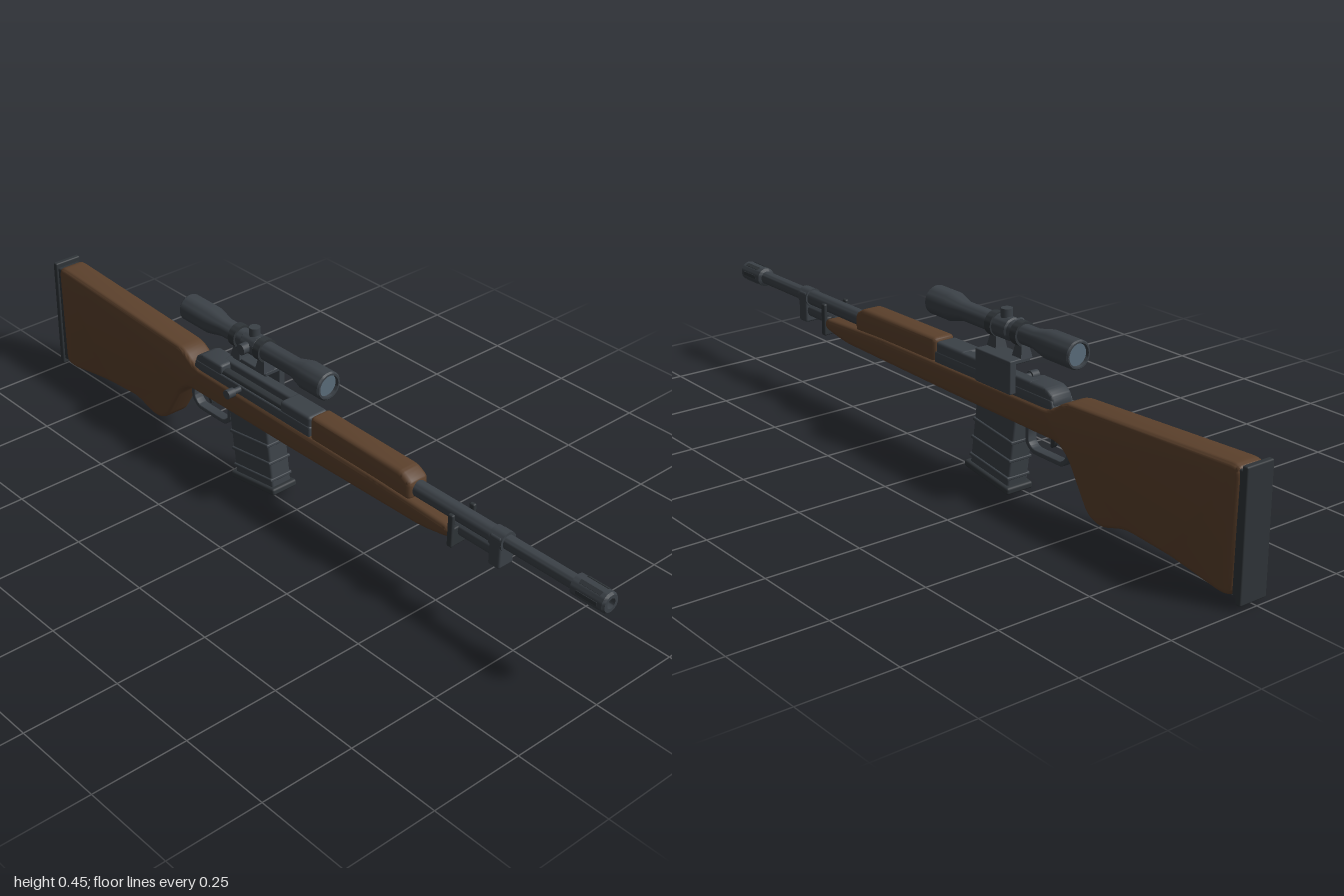
import * as THREE from 'three';
import { toCreasedNormals } from 'three/addons/utils/BufferGeometryUtils.js';
import { RoundedBoxGeometry } from 'three/addons/geometries/RoundedBoxGeometry.js';

const CX = 0.0115; // centre line of the rifle

export function createModel() {
  const mat = (name, color) => Object.assign(new THREE.MeshStandardMaterial({ color }), { name });
  const wood = mat('walnut', 0x5c412c);
  const metal = mat('gunmetal', 0x3b4147);
  const dark = mat('dark steel', 0x2f3438);
  const glass = mat('lens glass', 0x5a6c7a);
  const model = new THREE.Group();
  model.name = 'scopedRifle';

  const add = (name, geo, material, x = 0, y = 0, z = 0, parent = model) => {
    const mesh = new THREE.Mesh(geo, material);
    mesh.name = name;
    mesh.position.set(x, y, z);
    parent.add(mesh);
    return mesh;
  };
  const box = (w, h, d, r = 0.004) => new RoundedBoxGeometry(w, h, d, 2, r);

  // Closed outline with corners softened by radius r
  const outline = (pts, r, Type = THREE.Shape) => {
    const v = pts.map(p => new THREE.Vector2(...p));
    const s = new Type();
    v.forEach((p, i) => {
      const toward = q => {
        const d = q.clone().sub(p);
        return p.clone().add(d.setLength(Math.min(r, d.length() * 0.45)));
      };
      const a = toward(v[(i + v.length - 1) % v.length]);
      const b = toward(v[(i + 1) % v.length]);
      if (i) s.lineTo(a.x, a.y); else s.moveTo(a.x, a.y);
      s.quadraticCurveTo(p.x, p.y, b.x, b.y);
    });
    s.closePath();
    return s;
  };
  // Side profile in (z, y), extruded across the width and centred on x = 0
  const side = (shape, width, bevel) => {
    const g = new THREE.ExtrudeGeometry(shape, {
      depth: width - 2 * bevel, bevelSize: bevel, bevelThickness: bevel,
      bevelOffset: -bevel, bevelSegments: 3, curveSegments: 5,
    });
    g.translate(0, 0, bevel - width / 2).rotateY(-Math.PI / 2);
    return toCreasedNormals(g, 0.6);
  };
  // Turned part along z from [radius, z] pairs, z rising on the outside
  const turned = pts => toCreasedNormals(
    new THREE.LatheGeometry(pts.map(p => new THREE.Vector2(...p)), 28).rotateX(Math.PI / 2), 0.5);

  // One-piece wooden stock
  add('stock', side(outline([
    [0.555, 0.252], [0.3, 0.263], [-0.375, 0.268], [-0.425, 0.303], [-0.965, 0.328],
    [-0.978, 0.315], [-0.972, 0.03], [-0.94, 0.022], [-0.78, 0.049], [-0.635, 0.06],
    [-0.555, 0.035], [-0.51, 0.05], [-0.437, 0.17], [-0.4, 0.195], [0.0, 0.198],
    [0.46, 0.206], [0.555, 0.222],
  ], 0.025), 0.076, 0.011), wood, CX);
  add('handguard', side(outline([
    [0.418, 0.25], [0.418, 0.3], [0.385, 0.319], [0.07, 0.322], [0.07, 0.25],
  ], 0.012), 0.064, 0.012), wood, CX);
  add('buttPlate', box(0.08, 0.318, 0.016), dark, CX, 0.174, -0.992);
  add('buttSpacer', box(0.068, 0.29, 0.02), dark, CX, 0.174, -0.978);

  // Receiver with a cut-out for the bolt on the -x side
  add('receiver', side(outline([
    [0.07, 0.245], [0.07, 0.29], [-0.375, 0.29], [-0.385, 0.245],
  ], 0.006), 0.066, 0.004), metal, CX);
  add('receiverRing', box(0.062, 0.05, 0.11, 0.008), metal, CX, 0.291, 0.013);
  add('receiverBridge', side(outline([
    [-0.27, 0.27], [-0.27, 0.314], [-0.35, 0.314], [-0.375, 0.3], [-0.38, 0.27],
  ], 0.01), 0.062, 0.007), metal, CX);
  add('receiverRail', box(0.032, 0.045, 0.28, 0.006), metal, CX + 0.015, 0.292, -0.16);
  const bolt = turned([[0, -0.13], [0.014, -0.13], [0.014, 0.13], [0, 0.13]]);
  add('boltBody', bolt, dark, CX - 0.014, 0.288, -0.16);
  const across = (r, len) => new THREE.CylinderGeometry(r, r, len, 20).rotateZ(Math.PI / 2);
  add('boltHandle', across(0.008, 0.05), metal, -0.03, 0.281, -0.195);
  add('boltKnob', across(0.0125, 0.022), metal, -0.054, 0.281, -0.195);

  // Barrel and slotted muzzle
  const barrel = new THREE.Group();
  barrel.name = 'barrelAssembly';
  barrel.position.set(CX, 0.276, 0);
  model.add(barrel);
  add('barrel', turned([[0, 0.05], [0.021, 0.05], [0.021, 0.66], [0.018, 0.68], [0.018, 0.93], [0, 0.93]]),
    metal, 0, 0, 0, barrel);
  add('muzzle', turned([
    [0.017, 0.9], [0.026, 0.905], [0.026, 0.994], [0.022, 1], [0.013, 1], [0.013, 0.95], [0, 0.95],
  ]), metal, 0, 0, 0, barrel);
  for (let i = 0; i < 6; i++) {
    const a = i * Math.PI / 3;
    const slot = add('muzzleSlot', new THREE.BoxGeometry(0.003, 0.01, 0.06), dark,
      Math.cos(a) * 0.0255, Math.sin(a) * 0.0255, 0.952, barrel);
    slot.rotation.z = a;
  }

  // Gas block, gas tube and U-shaped front band
  add('gasBlock', box(0.048, 0.084, 0.036, 0.006), metal, CX, 0.25, 0.682);
  add('gasBlockCollar', turned([[0, -0.02], [0.025, -0.02], [0.025, 0.02], [0, 0.02]]), metal, CX, 0.276, 0.682);
  add('gasTube', turned([[0, 0.54], [0.019, 0.54], [0.019, 0.67], [0, 0.67]]), metal, CX, 0.241, 0);
  add('bandBase', box(0.08, 0.05, 0.014), dark, CX, 0.228, 0.558);
  for (const s of [-1, 1]) add('bandPost', box(0.011, 0.088, 0.016), dark, CX + s * 0.0345, 0.247, 0.558);

  // Tilted box magazine with ribs
  const magazine = new THREE.Group();
  magazine.name = 'magazine';
  magazine.position.set(CX, 0.12, -0.157);
  magazine.rotation.x = -0.14;
  model.add(magazine);
  add('magazineBody', box(0.062, 0.2, 0.148, 0.006), metal, 0, 0, 0, magazine);
  for (const y of [0.03, -0.02, -0.068])
    add('magazineRib', box(0.071, 0.009, 0.152, 0.003), metal, 0, y, 0, magazine);
  add('magazineBase', box(0.08, 0.019, 0.172, 0.006), dark, 0, -0.097, 0, magazine);

  // Trigger guard and trigger
  const guard = outline([[-0.26, 0.205], [-0.42, 0.205], [-0.42, 0.15], [-0.395, 0.126], [-0.285, 0.126], [-0.26, 0.145]], 0.012);
  guard.holes.push(outline([[-0.272, 0.193], [-0.272, 0.15], [-0.289, 0.138], [-0.391, 0.138], [-0.408, 0.155], [-0.408, 0.193]], 0.01, THREE.Path));
  add('triggerGuard', side(guard, 0.026, 0.002), metal, CX);
  add('trigger', side(outline([
    [-0.335, 0.205], [-0.36, 0.205], [-0.362, 0.18], [-0.352, 0.158], [-0.343, 0.16], [-0.347, 0.18],
  ], 0.006), 0.014, 0.002), dark, CX);

  // Scope with side mount, rings and adjusting knobs
  const scope = new THREE.Group();
  scope.name = 'scope';
  scope.position.set(CX, 0.41, 0);
  model.add(scope);
  add('scopeTube', turned([
    [0.027, -0.425], [0.029, -0.432], [0.033, -0.432], [0.036, -0.428], [0.036, -0.335], [0.025, -0.285],
    [0.025, -0.015], [0.0375, 0.03], [0.0375, 0.101], [0.034, 0.105], [0.029, 0.105], [0.028, 0.09],
  ]), metal, 0, 0, 0, scope);
  const lens = r => new THREE.CylinderGeometry(r, r, 0.004, 28).rotateX(Math.PI / 2);
  add('frontLens', lens(0.029), glass, 0, 0, 0.094, scope);
  add('rearLens', lens(0.028), glass, 0, 0, -0.423, scope);
  add('turretCollar', turned([[0.025, -0.2], [0.029, -0.196], [0.029, -0.149], [0.025, -0.145]]), metal, 0, 0, 0, scope);
  add('topKnob', new THREE.CylinderGeometry(0.0145, 0.0145, 0.03, 20), metal, 0, 0.033, -0.172, scope);
  add('sideKnob', across(0.0145, 0.03), metal, -0.032, 0, -0.172, scope);
  const foot = new THREE.CylinderGeometry(0.014, 0.025, 0.04, 4, 1).rotateY(Math.PI / 4).toNonIndexed();
  foot.computeVertexNormals();
  for (const z of [-0.135, -0.23]) {
    add('scopeRing', turned([
      [0.024, -0.011], [0.031, -0.011], [0.031, 0.011], [0.024, 0.011],
    ]), dark, 0, 0, z, scope);
    add('ringFoot', foot, metal, 0, -0.039, z, scope);
  }
  add('mountTop', box(0.064, 0.012, 0.13, 0.003), metal, 0.031, 0.348, -0.182);
  add('mountPlate', box(0.019, 0.084, 0.132, 0.003), metal, 0.053, 0.312, -0.182);

  return model;
}
